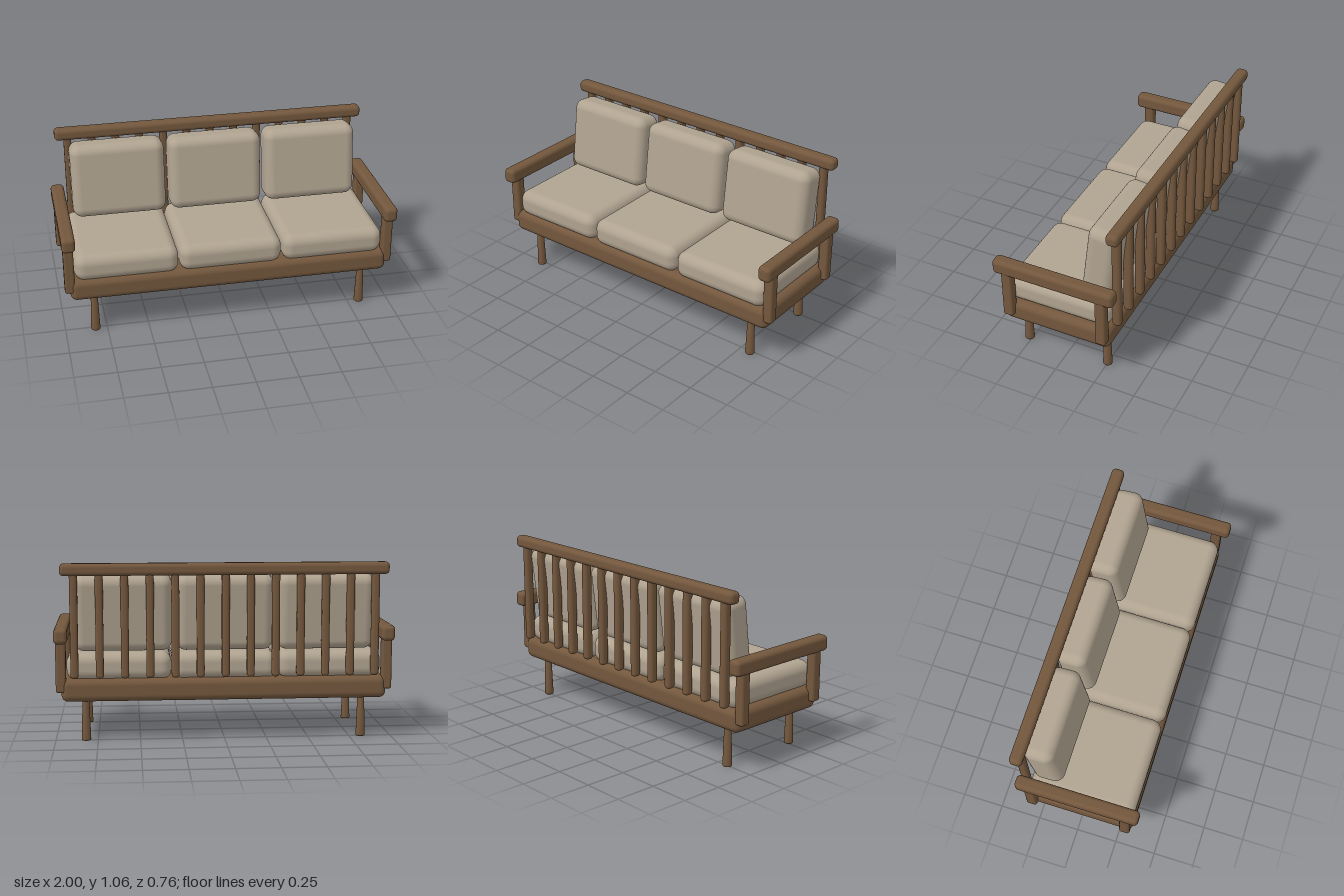
import * as THREE from 'three';
import { RoundedBoxGeometry } from 'three/addons/geometries/RoundedBoxGeometry.js';

const wood = new THREE.MeshStandardMaterial({ color: 0x73573d });
wood.name = 'brown wood';
const fabric = new THREE.MeshStandardMaterial({ color: 0xb0a390 });
fabric.name = 'beige fabric';

export function createModel() {
  const sofa = new THREE.Group();
  sofa.name = 'sofa';

  const add = (name, geometry, material, x, y, z) => {
    const mesh = new THREE.Mesh(geometry, material);
    mesh.name = name;
    mesh.position.set(x, y, z);
    sofa.add(mesh);
    return mesh;
  };
  // Soft-edged block given by its size, edge radius and centre
  const block = (name, [w, h, d], radius, material, x, y, z) =>
    add(name, new RoundedBoxGeometry(w, h, d, 5, radius), material, x, y, z);

  // Seat base
  block('seatBase', [1.92, 0.135, 0.665], 0.04, wood, 0, 0.3075, 0.008);

  // Legs, flaring towards the floor
  const legProfile = [[0, 0], [0.025, 0], [0.028, 0.004], [0.027, 0.03], [0.02, 0.25], [0, 0.25]]
    .map(([r, y]) => new THREE.Vector2(r, y));
  const legGeometry = new THREE.LatheGeometry(legProfile, 20);

  for (const side of [-1, 1]) {
    const label = side > 0 ? 'left' : 'right';
    for (const [end, z] of [['Front', 0.266], ['Back', -0.249]]) {
      add(`${label}${end}Leg`, legGeometry, wood, side * 0.82, 0, z);
    }
    // Armrest with its two posts
    block(`${label}Armrest`, [0.08, 0.092, 0.748], 0.025, wood, side * 0.96, 0.634, 0.008);
    for (const [end, z] of [['Front', 0.3], ['Back', -0.285]]) {
      block(`${label}${end}ArmPost`, [0.06, 0.32, 0.064], 0.015, wood, side * 0.962, 0.454, z);
    }
  }

  // Backrest: rail over thirteen slats
  block('topRail', [1.915, 0.072, 0.075], 0.025, wood, 0, 1.02, -0.343);
  const slats = 13;
  for (let i = 0; i < slats; i++) {
    const x = -0.88 + (1.76 * i) / (slats - 1);
    block('backSlat', [0.046, 0.625, 0.054], 0.019, wood, x, 0.6975, -0.342);
  }

  // Seat cushions and leaning back cushions
  for (const i of [-1, 0, 1]) {
    block('seatCushion', [0.615, 0.163, 0.645], 0.06, fabric, i * 0.622, 0.4435, 0.015);
    const back = block('backCushion', [0.57, 0.454, 0.188], 0.058, fabric, i * 0.597, 0.763, -0.227);
    back.rotation.x = -0.122;
  }

  return sofa;
}
